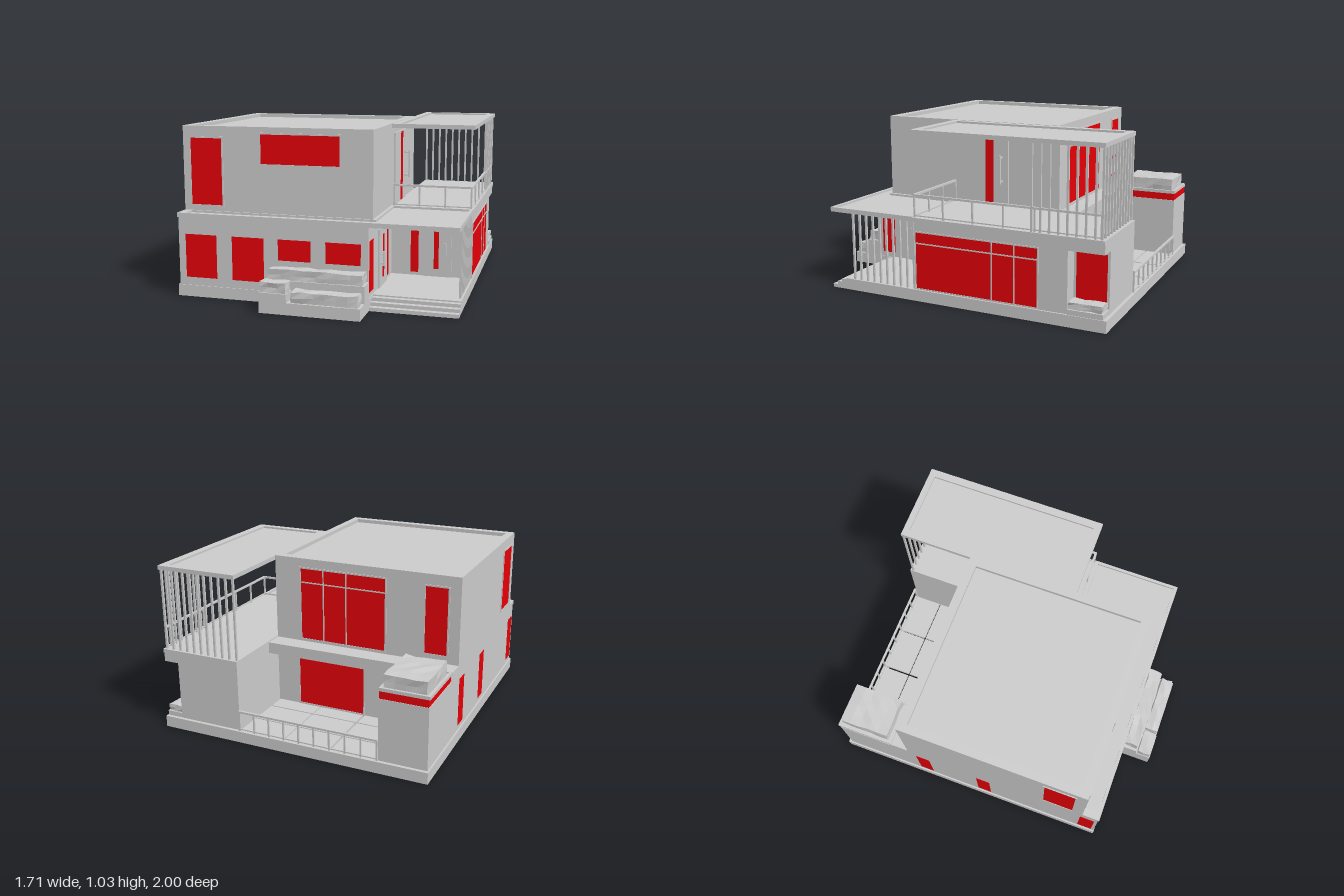
import * as THREE from 'three';

const grey = new THREE.MeshStandardMaterial({ color: 0xcccccc, flatShading: true });
const red = new THREE.MeshStandardMaterial({ color: 0xe60008 });

export function createModel() {
  const root = new THREE.Group();

  const add = (name, geo, mat = grey, parent = root) => {
    const m = new THREE.Mesh(geo, mat);
    m.name = name;
    parent.add(m);
    return m;
  };
  const group = (name) => {
    const g = new THREE.Group();
    g.name = name;
    root.add(g);
    return g;
  };
  // box given by its limits on each axis
  const box = (name, x0, x1, y0, y1, z0, z1, mat = grey, parent = root) => {
    const m = add(name, new THREE.BoxGeometry(x1 - x0, y1 - y0, z1 - z0), mat, parent);
    m.position.set((x0 + x1) / 2, (y0 + y1) / 2, (z0 + z1) / 2);
    return m;
  };
  // floor-plan outline of [x, z] points raised from y0 to y1
  const plan = (name, pts, y0, y1, hole) => {
    const toV = (p) => p.map(([x, z]) => new THREE.Vector2(x, -z));
    const s = new THREE.Shape(toV(pts));
    if (hole) s.holes.push(new THREE.Path(toV(hole)));
    const g = new THREE.ExtrudeGeometry(s, { depth: y1 - y0, bevelEnabled: false });
    g.rotateX(-Math.PI / 2);
    g.translate(0, y0, 0);
    return add(name, g);
  };
  const rect = (x0, x1, z0, z1) => [[x0, z1], [x1, z1], [x1, z0], [x0, z0]];

  // box lying in a wall: axis is the wall's normal, a0..a1 runs along the wall
  const inWall = (name, axis, pos, t, a0, a1, y0, y1, mat, parent) =>
    axis === 'z'
      ? box(name, a0, a1, y0, y1, pos - t, pos + t, mat, parent)
      : box(name, pos - t, pos + t, y0, y1, a0, a1, mat, parent);
  const outline = (name, axis, pos, t, a0, a1, y0, y1, w, parent) => {
    inWall(name, axis, pos, t, a0 - w, a0, y0 - w, y1 + w, grey, parent);
    inWall(name, axis, pos, t, a1, a1 + w, y0 - w, y1 + w, grey, parent);
    inWall(name, axis, pos, t, a0, a1, y0 - w, y0, grey, parent);
    inWall(name, axis, pos, t, a0, a1, y1, y1 + w, grey, parent);
  };
  const pane = (name, axis, pos, a0, a1, y0, y1, t = 0.012, frame = 0, bars = [], transom = 0) => {
    const g = group(name);
    inWall('glass', axis, pos, t, a0, a1, y0, y1, red, g);
    if (frame) outline('frame', axis, pos, t + 0.003, a0, a1, y0, y1, frame, g);
    for (const b of bars) inWall('mullion', axis, pos, t + 0.003, b - 0.004, b + 0.004, y0, y1, grey, g);
    if (transom) inWall('transom', axis, pos, t + 0.003, a0, a1, transom - 0.004, transom + 0.004, grey, g);
  };

  // ---- ground storey: hollow shell, open underneath; pz is the back of the planter corner ----
  const outer = (pz) => [[-0.845, 0.795], [0.335, 0.795], [0.335, 0.2], [0.845, 0.2], [0.845, -0.77], [0.75, -0.77],
    [0.75, -0.98], [0.335, -0.98], [0.335, -0.495], [-0.555, -0.495], [-0.555, pz], [-0.845, pz]];
  const inner = (pz) => [[-0.825, 0.775], [0.315, 0.775], [0.315, 0.18], [0.825, 0.18], [0.825, -0.75], [0.73, -0.75],
    [0.73, -0.96], [0.355, -0.96], [0.355, -0.475], [-0.575, -0.475], [-0.575, pz + 0.02], [-0.825, pz + 0.02]];
  plan('base', [[-0.855, 0.8], [0.34, 0.8], [0.34, 0.7], [0.855, 0.7], [0.855, -1], [-0.855, -1]], 0, 0.07,
    [[-0.83, 0.78], [0.32, 0.78], [0.32, 0.68], [0.83, 0.68], [0.83, -0.975], [-0.83, -0.975]]);
  plan('groundWalls', outer(-0.98), 0.045, 0.43, inner(-0.98));
  plan('upperGroundWalls', outer(-0.61), 0.43, 0.485, inner(-0.61));
  plan('groundRoof', [[-0.85, 0.8], [0.85, 0.8], [0.85, -0.98], [0.335, -0.98], [0.335, -0.61], [-0.85, -0.61]], 0.485, 0.5);
  plan('frontRoofRim', [[-0.85, 0.8], [0.85, 0.8], [0.85, 0.21], [0.335, 0.21], [0.335, 0.69], [-0.85, 0.69]], 0.5, 0.513,
    [[-0.8, 0.78], [0.83, 0.78], [0.83, 0.23], [0.355, 0.23], [0.355, 0.7], [-0.8, 0.7]]);
  box('terraceFloor', 0.335, 0.85, 0.5, 0.508, -0.98, 0.21);
  box('courtyardLedge', -0.555, 0.335, 0.43, 0.5, -0.61, -0.5);
  box('cornerSill', 0.75, 0.85, 0.05, 0.1, -0.98, -0.77);
  box('cornerLintel', 0.75, 0.845, 0.43, 0.485, -0.98, -0.77);
  box('porchFloor', 0.335, 0.84, 0.05, 0.07, 0.19, 0.69);
  [0.7, 0.733, 0.767].forEach((z, i) => box('porchStep', 0.34, 0.855, 0, 0.062 - i * 0.02, z, z + 0.033));

  // ground windows
  for (const [a, b, y] of [[-0.8, -0.6, 0.12], [-0.5, -0.3, 0.12], [-0.21, -0.01, 0.26], [0.08, 0.29, 0.26]])
    pane('frontWindow', 'z', 0.785, a, b, y, 0.385);
  for (const [a, b] of [[-0.45, -0.36], [-0.03, 0.06], [0.68, 0.775]])
    pane('sideWindow', 'x', -0.835, a, b, 0.1, 0.4);
  pane('porchSideWindow', 'x', 0.325, 0.68, 0.775, 0.1, 0.4);
  pane('porchSlitWindow', 'x', 0.325, 0.295, 0.33, 0.09, 0.41);
  pane('porchBackWindow', 'z', 0.19, 0.46, 0.51, 0.09, 0.415);
  pane('livingGlass', 'x', 0.835, -0.59, 0.19, 0.08, 0.42, 0.011, 0.008, [-0.31, -0.45], 0.355);
  pane('cornerWindow', 'x', 0.74, -0.965, -0.785, 0.12, 0.405);
  pane('courtyardGlass', 'z', -0.485, -0.255, 0.18, 0.08, 0.4, 0.012, 0.01);

  // doors: thin leaf, glass slit, bar handle standing off by reach
  const door = (name, axis, pos, [a0, a1, y0, y1], [s0, s1, sy0, sy1], [h0, h1, hy0, hy1], reach) => {
    const g = group(name);
    inWall('leaf', axis, pos, 0.01, a0, a1, y0, y1, grey, g);
    inWall('glassSlit', axis, pos, 0.012, s0, s1, sy0, sy1, red, g);
    inWall('handle', axis, pos + reach, 0.005, h0, h1, hy0, hy1, grey, g);
    for (const y of [hy0 + 0.01, hy1 - 0.02])
      inWall('handleMount', axis, pos + reach / 2, reach / 2, h0, h1, y, y + 0.008, grey, g);
  };
  door('porchDoor', 'z', 0.2, [0.53, 0.72, 0.07, 0.43], [0.61, 0.64, 0.12, 0.385], [0.68, 0.69, 0.2, 0.29], 0.028);
  door('sidePorchDoor', 'x', 0.335, [0.37, 0.565, 0.07, 0.43], [0.45, 0.482, 0.12, 0.385], [0.525, 0.535, 0.2, 0.29], 0.028);
  door('terraceDoor', 'x', 0.335, [-0.17, 0.15, 0.508, 0.965], [-0.07, -0.015, 0.512, 0.96], [-0.135, -0.11, 0.65, 0.83], 0.045);

  // ---- upper storey ----
  box('upperStorey', -0.85, 0.335, 0.5, 1.005, -0.495, 0.69);
  plan('upperParapet', rect(-0.85, 0.335, -0.495, 0.69), 1.005, 1.028, rect(-0.8, 0.29, -0.44, 0.64));
  pane('upperTallWindow', 'z', 0.69, -0.8, -0.6, 0.55, 0.955, 0.002, 0.01);
  pane('upperWideWindow', 'z', 0.69, -0.35, 0.135, 0.81, 0.985, 0.002, 0.01);
  pane('upperSideWindow', 'x', -0.85, 0.43, 0.62, 0.55, 0.955, 0.002, 0.01);
  pane('upperBackGlass', 'z', -0.495, -0.39, 0.16, 0.52, 0.965, 0.002, 0.01, [-0.14, 0.01], 0.88);
  pane('upperBackWindow', 'z', -0.495, -0.775, -0.64, 0.55, 0.955, 0.002, 0.01);

  // ---- covered terrace ----
  box('terraceRoof', 0.335, 0.85, 1.0, 1.014, -0.97, 0.21);
  plan('terraceRoofRim', rect(0.335, 0.85, -0.97, 0.21), 1.014, 1.026, rect(0.38, 0.8, -0.93, 0.165));
  const slats = group('slats');
  const slat = (x, z, y0, y1) => box('slat', x - 0.006, x + 0.006, y0, y1, z - 0.006, z + 0.006, grey, slats);
  for (let i = 0; i <= 10; i++) slat(0.345 + i * 0.049, -0.96, 0.5, 1.0);
  for (let i = 0; i < 8; i++) slat(0.835, -0.55 - i * 0.053, 0.5, 1.0);
  for (let i = 0; i < 10; i++) slat(0.838, 0.21 + i * 0.048, 0.07, 0.485);

  // railing along one straight run
  const railing = (name, axis, pos, a0, a1, y0, y1, n) => {
    const g = group(name);
    inWall('topRail', axis, pos, 0.007, a0, a1, y1 - 0.012, y1, grey, g);
    inWall('bottomRail', axis, pos, 0.004, a0, a1, y0 + 0.008, y0 + 0.015, grey, g);
    for (let i = 0; i <= n; i++) {
      const a = a0 + (a1 - a0 - 0.01) * i / n;
      inWall('post', axis, pos, 0.005, a, a + 0.01, y0, y1 - 0.01, grey, g);
    }
  };
  railing('terraceSideRailing', 'x', 0.835, -0.96, 0.205, 0.508, 0.648, 6);
  railing('terraceFrontRailing', 'z', 0.2, 0.345, 0.84, 0.508, 0.648, 3);

  // ---- back courtyard, paved with spaced slabs ----
  railing('courtyardRailing', 'z', -0.985, -0.555, 0.335, 0.07, 0.2, 9);
  for (const x of [-0.555, -0.255, 0.04])
    for (const [z0, z1] of [[-0.98, -0.805], [-0.797, -0.612], [-0.604, -0.49]])
      box('pavingSlab', x + 0.004, x + 0.291, 0.05, 0.07, z0, z1);

  // ---- planters, with lumpy hedges ----
  const noise = (x, y, z) => {
    const v = Math.sin(x * 127.1 + y * 311.7 + z * 74.7) * 43758.5453;
    return v - Math.floor(v) - 0.5;
  };
  const hedge = (x0, x1, y0, y1, z0, z1) => {
    const [w, h, d] = [x1 - x0, y1 - y0, z1 - z0];
    const g = new THREE.BoxGeometry(w, h, d, Math.ceil(w / 0.07), 2, Math.ceil(d / 0.07));
    const p = g.attributes.position;
    for (let i = 0; i < p.count; i++) {
      const [x, y, z] = [p.getX(i), p.getY(i), p.getZ(i)].map((v) => Math.round(v * 1000) / 1000 + 0);
      p.setXYZ(i, x + noise(x, y, z) * 0.01, y + noise(y, z, x) * 0.01, z + noise(z, x, y) * 0.01);
    }
    g.computeVertexNormals();
    add('hedge', g).position.set((x0 + x1) / 2, (y0 + y1) / 2, (z0 + z1) / 2);
  };
  box('frontPlanterBack', -0.255, 0.34, 0, 0.17, 0.8, 0.9);
  box('frontPlanterLeft', -0.255, -0.09, 0, 0.12, 0.9, 1);
  box('frontPlanterRight', -0.09, 0.34, 0, 0.07, 0.9, 1);
  hedge(-0.235, 0.325, 0.165, 0.23, 0.81, 0.89);
  hedge(-0.25, -0.095, 0.115, 0.18, 0.91, 0.99);
  hedge(-0.065, 0.325, 0.065, 0.135, 0.91, 0.99);
  hedge(0.755, 0.84, 0.1, 0.14, -0.97, -0.775);

  box('planterSoil', -0.845, -0.555, 0.43, 0.445, -0.98, -0.61);
  box('planterBand', -0.842, -0.558, 0.445, 0.49, -0.977, -0.61, red);
  box('planterCap', -0.85, -0.555, 0.49, 0.5, -0.98, -0.61);
  plan('planterRim', rect(-0.85, -0.555, -0.98, -0.61), 0.5, 0.51, rect(-0.835, -0.57, -0.965, -0.625));
  hedge(-0.825, -0.575, 0.5, 0.582, -0.955, -0.64);

  return root;
}
